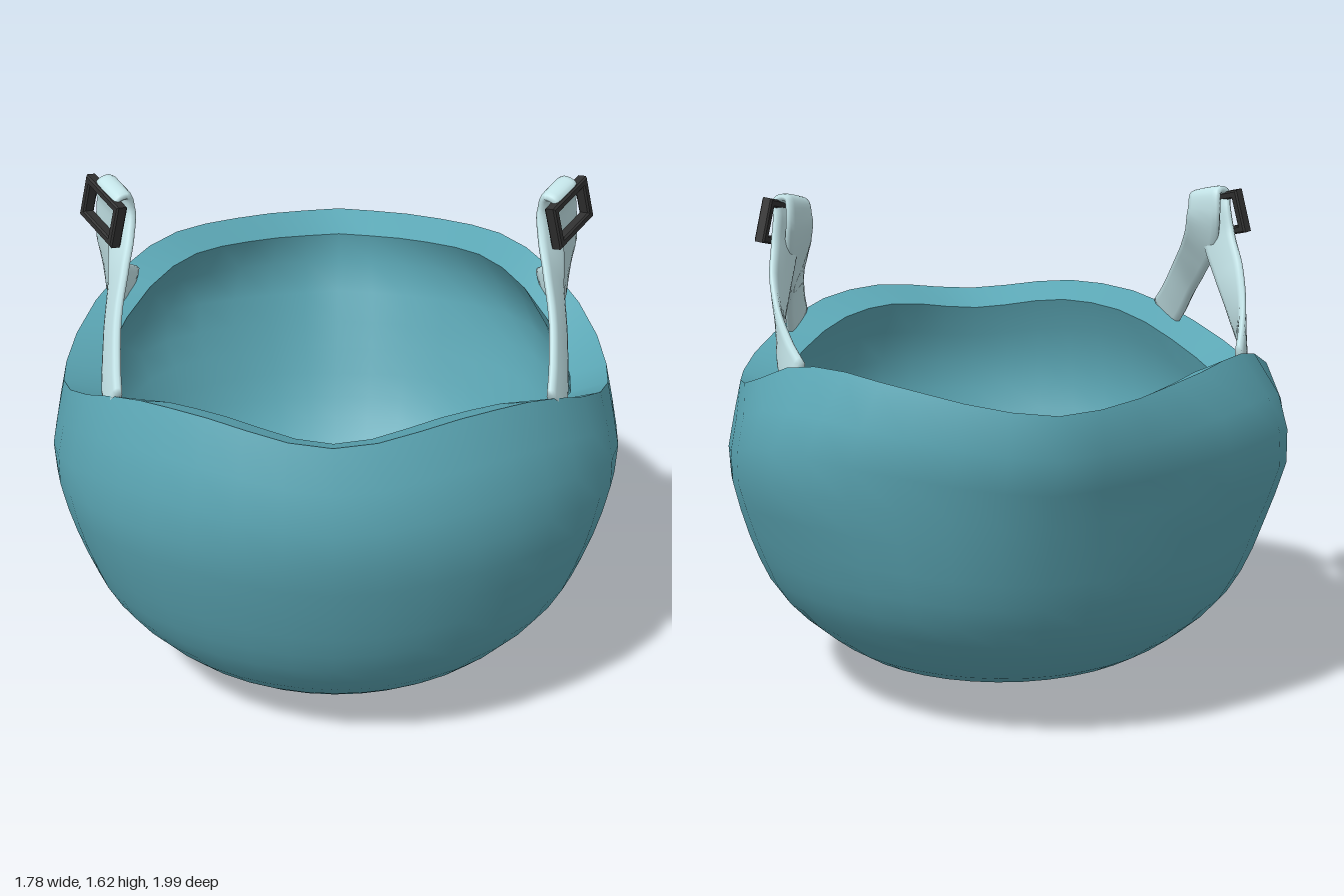
import * as THREE from 'three';

const V = (x, y, z) => new THREE.Vector3(x, y, z);
const SEG = 40;

// Smooth lookup of one column in a table whose first column is the key
function lookup(rows, key, col) {
  let i = 0;
  while (i < rows.length - 2 && key > rows[i + 1][0]) i++;
  const slope = (a, b) => (rows[b][col] - rows[a][col]) / (rows[b][0] - rows[a][0]);
  const h = rows[i + 1][0] - rows[i][0];
  const t = THREE.MathUtils.clamp((key - rows[i][0]) / h, 0, 1);
  const m0 = slope(Math.max(i - 1, 0), i + 1) * h;
  const m1 = slope(i, Math.min(i + 2, rows.length - 1)) * h;
  const t2 = t * t, t3 = t2 * t;
  return (2 * t3 - 3 * t2 + 1) * rows[i][col] + (t3 - 2 * t2 + t) * m0
    + (3 * t2 - 2 * t3) * rows[i + 1][col] + (t3 - t2) * m1;
}

// Skin a list of closed rings with smooth normals
function loft(rings) {
  const n = rings[0].length, index = [];
  for (let i = 0; i < rings.length - 1; i++) {
    for (let j = 0; j < n; j++) {
      const a = i * n + j, b = i * n + (j + 1) % n;
      index.push(a, b, a + n, b, b + n, a + n);
    }
  }
  const geo = new THREE.BufferGeometry().setFromPoints(rings.flat());
  geo.setIndex(index);
  geo.computeVertexNormals();
  return geo;
}

// Shell profile: height (stored as its root), half width, front z, back z
const PROFILE = [
  [0, 0, .17, .17], [.015, .21, .37, .05], [.06, .375, .5, -.14], [.12, .5, .6, -.33],
  [.21, .62, .715, -.49], [.35, .755, .825, -.65], [.5, .825, .895, -.75],
  [.65, .87, .945, -.82], [.78, .89, .985, -.88], [.9, .87, 1, -.933],
  [1.05, .835, .975, -.998], [1.13, .795, .945, -.975], [1.19, .765, .92, -.95],
].map(([y, ...rest]) => [Math.sqrt(y), ...rest]);

// Rim height against degrees away from the front, running past both ends
const RIM = [
  [-27, 1.19], [0, 1.152], [27, 1.19], [48, 1.165], [62, 1.1], [78, 1.03], [87, 1.02],
  [97, 1.04], [107, 1.09], [118, 1.16], [131, 1.19], [145, 1.18], [180, 1.135], [215, 1.18],
];
const rimHeight = (a) => lookup(RIM, THREE.MathUtils.radToDeg(Math.min(a, 2 * Math.PI - a)), 1);

// Outer surface point: angle a around, t from the bottom (0) to the rim (1)
function outerPoint(a, t) {
  const y = rimHeight(a) * t * t, k = Math.sqrt(y);
  const mid = .17 - .07 * Math.min(1, y / .5);
  let c = Math.cos(a), reach = lookup(PROFILE, k, 2) - mid;
  let width = lookup(PROFILE, k, 1);
  if (c < 0) {
    // the back draws to a point toward the rim, with full shoulders beside it
    const point = .07 * THREE.MathUtils.smoothstep(y, .45, 1);
    c = c * (1 - point) - point * Math.max(0, 1 - Math.abs(a - Math.PI) / .5);
    reach = mid - lookup(PROFILE, k, 3);
    width *= 1 + .1 * Math.sin(2 * a) ** 2 * Math.exp(-(((y - .92) / .2) ** 2));
  }
  return V(width * Math.sin(a), y, mid + reach * c);
}

// Inner surface: drawn in, with a raised floor and a lip that slopes inward
function innerPoint(a, t) {
  const p = outerPoint(a, t);
  return V(p.x * .87, p.y + .1 - .15 * t * t, (p.z + .025) * .87 - .025);
}

const ring = (fn, t) => Array.from({ length: SEG }, (_, j) => fn(j / SEG * 2 * Math.PI, t));

// Strap centre line and width direction: from the front rim, over the buckle, to the back rim
const ALONG = [-.54, -.22, .81];
const STRAP = [
  [.64, 1.11, .58, -.4, .75, .5], [.65, 1.17, .5, -.4, .75, .5],
  [.655, 1.27, .37, -.4, .75, .5], [.65, 1.36, .22, -.45, .6, .6],
  [.648, 1.44, .12, -.5, .1, .8], [.645, 1.53, .075, ...ALONG],
  [.652, 1.592, .085, ...ALONG], [.682, 1.585, .105, ...ALONG], [.685, 1.53, .09, ...ALONG],
  [.695, 1.44, .06, ...ALONG], [.712, 1.35, 0, -.4, -.35, .8],
  [.72, 1.25, -.09, -.1, -.55, .8], [.71, 1.17, -.2, .2, -.75, .55],
  [.68, 1.11, -.31, .3, -.85, .4],
];

function strapGeometry(side) {
  const centre = new THREE.CatmullRomCurve3(STRAP.map((p) => V(p[0] * side, p[1], p[2])));
  const across = new THREE.CatmullRomCurve3(STRAP.map((p) => V(p[3] * side, p[4], p[5])));
  const rings = [], steps = 78, n = 12;
  for (let i = 0; i <= steps; i++) {
    const t = i / steps, c = centre.getPoint(t), T = centre.getTangent(t);
    const w = across.getPoint(t);
    w.addScaledVector(T, -w.dot(T)).normalize();
    const N = T.clone().cross(w);
    // flat section with rounded edges
    const section = Array.from({ length: n }, (_, j) => {
      const a = j / n * 2 * Math.PI;
      const u = Math.sign(Math.cos(a)) * Math.abs(Math.cos(a)) ** .6;
      const v = Math.sign(Math.sin(a)) * Math.abs(Math.sin(a)) ** .5;
      return c.clone().addScaledVector(w, u * .066).addScaledVector(N, v * .014);
    });
    if (i === 0) rings.push(section.map(() => c.clone()));
    rings.push(section);
    if (i === steps) rings.push(section.map(() => c.clone()));
  }
  return loft(rings);
}

// Rectangular buckle frame with a window
function rectangle(target, w, h) {
  target.moveTo(-w, -h);
  target.lineTo(w, -h);
  target.lineTo(w, h);
  target.lineTo(-w, h);
  target.closePath();
  return target;
}

function buckleGeometry(side) {
  const frame = rectangle(new THREE.Shape(), .099, .064);
  frame.holes.push(rectangle(new THREE.Path(), .083, .049));
  const geo = new THREE.ExtrudeGeometry(frame, {
    depth: .026, bevelEnabled: true, bevelSize: .005, bevelThickness: .005, bevelSegments: 1,
  });
  geo.translate(0, 0, -.013);
  const X = V(ALONG[0] * side, ALONG[1], ALONG[2]).normalize();
  const Y = V(-.03 * side, .11, .02);
  Y.addScaledVector(X, -Y.dot(X)).normalize();
  const basis = new THREE.Matrix4().makeBasis(X, Y, X.clone().cross(Y));
  return geo.applyMatrix4(basis.setPosition(.702 * side, 1.52, .095));
}

export function createModel() {
  const model = new THREE.Group();
  const shellMat = new THREE.MeshStandardMaterial({ color: 0x5ba6b4 });
  const strapMat = new THREE.MeshStandardMaterial({ color: 0xc4e4e8 });
  const buckleMat = new THREE.MeshStandardMaterial({ color: 0x303030 });
  const add = (name, geo, mat) => {
    const mesh = new THREE.Mesh(geo, mat);
    mesh.name = name;
    model.add(mesh);
  };

  // Shell: outside, lip and hollow inside
  const levels = Array.from({ length: 19 }, (_, i) => i / 18);
  add('outerShell', loft(levels.map((t) => ring(outerPoint, t))), shellMat);
  add('rimLip', loft([ring(outerPoint, 1), ring(innerPoint, 1)]), shellMat);
  add('innerShell', loft(levels.map((t) => ring(innerPoint, 1 - t))), shellMat);

  // Strap and buckle on each side
  for (const [side, label] of [[1, 'left'], [-1, 'right']]) {
    add(label + 'Strap', strapGeometry(side), strapMat);
    add(label + 'Buckle', buckleGeometry(side), buckleMat);
  }
  return model;
}
